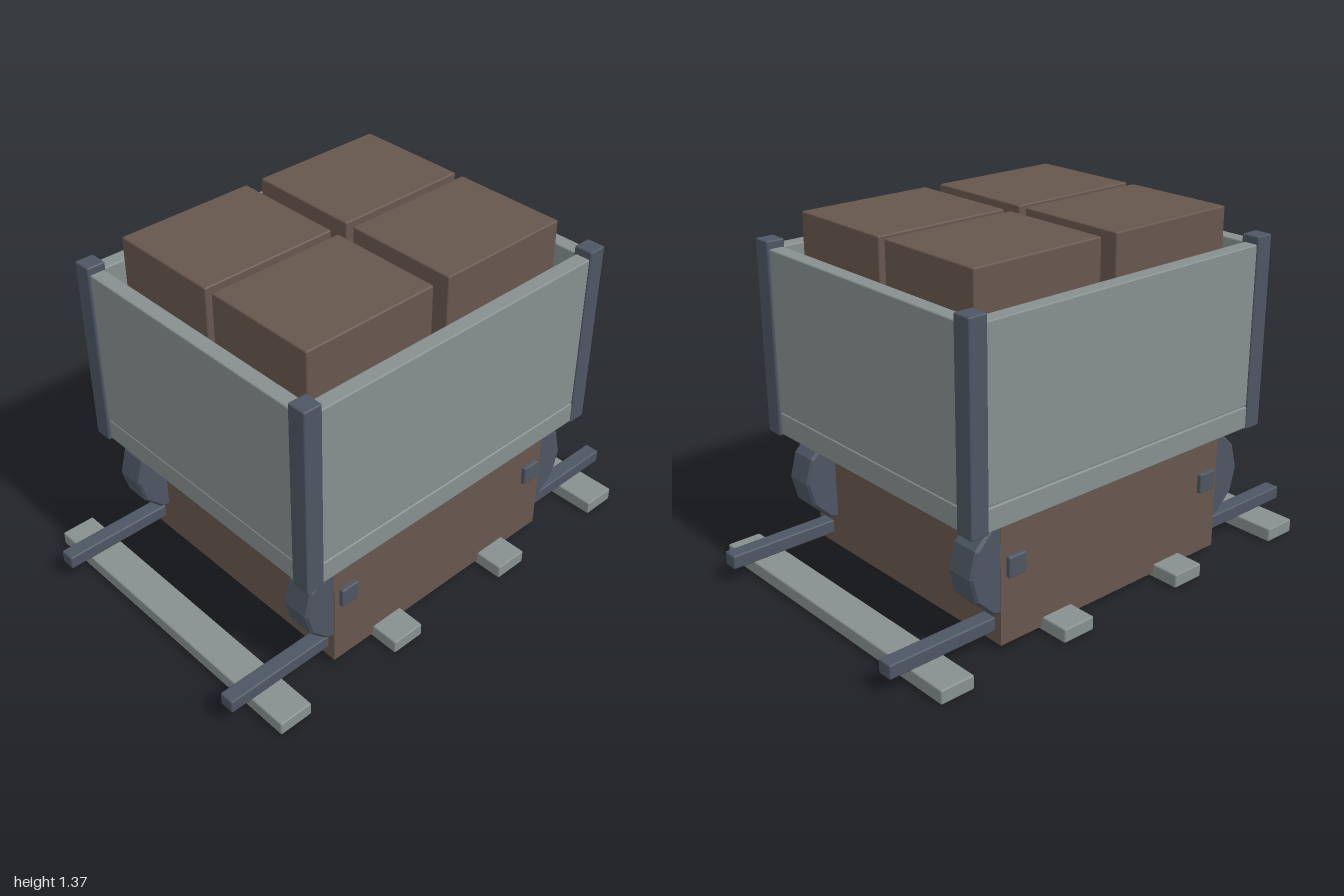
import * as THREE from 'three';
import { RoundedBoxGeometry } from 'three/addons/geometries/RoundedBoxGeometry.js';

export function createModel() {
  const cart = new THREE.Group();
  cart.name = 'railCart';

  const material = (name, color) => {
    const m = new THREE.MeshStandardMaterial({ color });
    m.name = name;
    return m;
  };
  const paleGrey = material('paleGrey', 0x87908f);
  const darkSteel = material('darkSteel', 0x4d5663);
  const brown = material('brown', 0x67574d);

  const add = (name, geometry, mat, x, y, z) => {
    const mesh = new THREE.Mesh(geometry, mat);
    mesh.name = name;
    mesh.position.set(x, y, z);
    cart.add(mesh);
    return mesh;
  };
  // Box with narrow bevelled edges, placed by its centre and its y range
  const bevelBox = (name, mat, w, d, y0, y1, x, z) =>
    add(name, new RoundedBoxGeometry(w, y1 - y0, d, 1, 0.006), mat, x, (y0 + y1) / 2, z);

  // Track: four sleepers and two rails
  for (const z of [-0.835, -0.285, 0.285, 0.835]) {
    bevelBox('sleeper', paleGrey, 1.325, 0.14, 0, 0.055, 0, z);
  }
  for (const x of [-0.485, 0.485]) {
    bevelBox('rail', darkSteel, 0.062, 2, 0.063, 0.118, x, 0);
  }

  // Plain solid body below the tray
  add('body', new THREE.BoxGeometry(1.096, 0.6, 1.1), brown, 0, 0.32, 0);

  // Twelve-sided wheels with bevelled rims, and square axles
  const r = 0.195, h = 0.062, b = 0.01;
  const profile = [[0, -h], [r - b, -h], [r, b - h], [r, h - b], [r - b, h], [0, h]]
    .map(([px, py]) => new THREE.Vector2(px, py));
  const wheelGeometry = new THREE.LatheGeometry(profile, 12).rotateZ(Math.PI / 2).toNonIndexed();
  wheelGeometry.computeVertexNormals();
  for (const z of [-0.485, 0.485]) {
    bevelBox('axle', darkSteel, 1.13, 0.08, 0.28, 0.36, 0, z);
    for (const x of [-0.484, 0.484]) add('wheel', wheelGeometry, darkSteel, x, 0.32, z);
  }

  // Tray floor and four walls
  bevelBox('trayFloor', paleGrey, 1.2, 1.42, 0.508, 0.598, 0, 0);
  for (const s of [-1, 1]) {
    bevelBox('sideWall', paleGrey, 0.062, 1.42, 0.6, 1.235, s * 0.567, 0);
    bevelBox('endWall', paleGrey, 1.1, 0.062, 0.6, 1.235, 0, s * 0.681);
  }

  // Corner posts and the four crates
  for (const sx of [-1, 1]) {
    for (const sz of [-1, 1]) {
      bevelBox('cornerPost', darkSteel, 0.076, 0.076, 0.504, 1.265, sx * 0.566, sz * 0.684);
      bevelBox('crate', brown, 0.463, 0.563, 0.6, 1.367, sx * 0.248, sz * 0.317);
    }
  }
  return cart;
}
